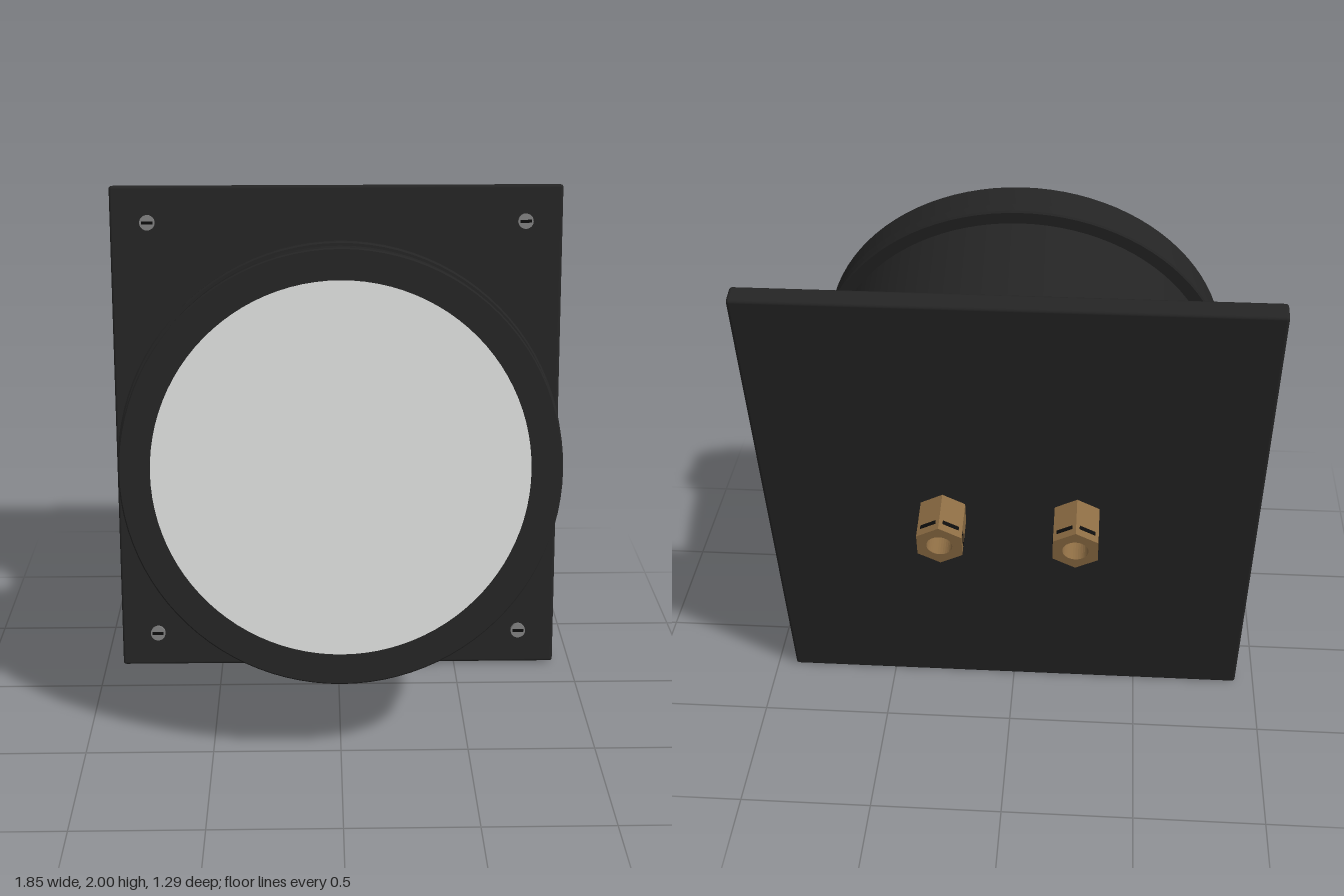
import * as THREE from 'three';
import { toCreasedNormals } from 'three/addons/utils/BufferGeometryUtils.js';
import { RoundedBoxGeometry } from 'three/addons/geometries/RoundedBoxGeometry.js';

const flat = (name, color) => {
  const m = new THREE.MeshStandardMaterial({ color });
  m.name = name;
  return m;
};

export function createModel() {
  const black = flat('black casing', 0x242424);
  const dark = flat('dark recess', 0x0c0c0c);
  const glass = flat('pale dial', 0xd8dad8);
  const brass = flat('brass', 0x8c6c43);
  const steel = flat('screw steel', 0x7c7c7c);

  const model = new THREE.Group();
  model.name = 'panelGauge';

  // Everything is built square to the plate, then leaned back
  const tilted = new THREE.Group();
  tilted.name = 'tiltedAssembly';
  tilted.position.set(0, 1, -0.3975);
  tilted.rotation.x = -THREE.MathUtils.degToRad(12);
  model.add(tilted);

  const add = (parent, name, geometry, material, x = 0, y = 0, z = 0) => {
    const mesh = new THREE.Mesh(geometry, material);
    mesh.name = name;
    mesh.position.set(x, y, z);
    parent.add(mesh);
    return mesh;
  };
  // Turned part along z from [radius, z] pairs
  const turned = (pairs) => toCreasedNormals(new THREE.LatheGeometry(
    pairs.map(([r, z]) => new THREE.Vector2(r, z)), 96).rotateX(Math.PI / 2), 0.5);
  const disc = (r, h, n = 24) => new THREE.CylinderGeometry(r, r, h, n).rotateX(Math.PI / 2);

  // Mounting plate
  add(tilted, 'mountingPlate', new RoundedBoxGeometry(1.85, 2.028, 0.078, 3, 0.012), black);

  // Round case, rear lip and front bezel
  add(tilted, 'caseBarrel', turned([[0.772, 0.03], [0.772, 0.74]]), black);
  add(tilted, 'rearLip', turned([[0.75, 0.722], [0.82, 0.722], [0.826, 0.728],
    [0.826, 0.768], [0.82, 0.774], [0.78, 0.774]]), black);
  add(tilted, 'bezel', turned([[0.81, 0.77], [0.81, 0.892], [0.805, 0.897],
    [0.695, 0.897], [0.695, 0.87]]), black);
  add(tilted, 'dialFace', new THREE.CircleGeometry(0.696, 96), glass, 0, 0, 0.89);

  // Slotted screws in the corners
  for (const x of [-0.77, 0.77]) for (const y of [-0.867, 0.867]) {
    const screw = new THREE.Group();
    screw.name = 'screw';
    screw.position.set(x, y, 0.039);
    tilted.add(screw);
    add(screw, 'screwShank', disc(0.015, 0.02), dark, 0, 0, 0.008);
    add(screw, 'screwHead', disc(0.031, 0.014), steel, 0, 0, 0.021);
    add(screw, 'screwSlot', new THREE.BoxGeometry(0.046, 0.012, 0.003), dark, 0, 0, 0.0285);
  }

  // Hexagonal pipe connectors on the back, each with a bore
  const hex = new THREE.Shape();
  for (let i = 0; i < 6; i++) {
    const a = Math.PI / 2 + i * Math.PI / 3;
    hex[i ? 'lineTo' : 'moveTo'](0.096 * Math.cos(a), 0.096 * Math.sin(a));
  }
  hex.closePath();
  hex.holes.push(new THREE.Path().absarc(0, 0, 0.048, 0, Math.PI * 2, true));
  const nut = new THREE.ExtrudeGeometry(hex, { depth: 0.168, bevelEnabled: false, curveSegments: 16 });
  const apothem = 0.096 * Math.cos(Math.PI / 6);

  for (const x of [-0.25, 0.25]) {
    const connector = new THREE.Group();
    connector.name = 'connector';
    connector.position.set(x, 0, -0.205);
    tilted.add(connector);
    add(connector, 'hexNut', nut, brass);
    add(connector, 'boreFloor', disc(0.05, 0.01), brass, 0, 0, 0.1);
    // Dark slits around the nut
    for (let i = 0; i < 6; i++) {
      const a = i * Math.PI / 3;
      const slit = add(connector, 'nutSlit', new THREE.BoxGeometry(0.004, 0.066, 0.016), dark,
        apothem * Math.cos(a), apothem * Math.sin(a), 0.038);
      slit.rotation.z = a;
    }
  }
  return model;
}
